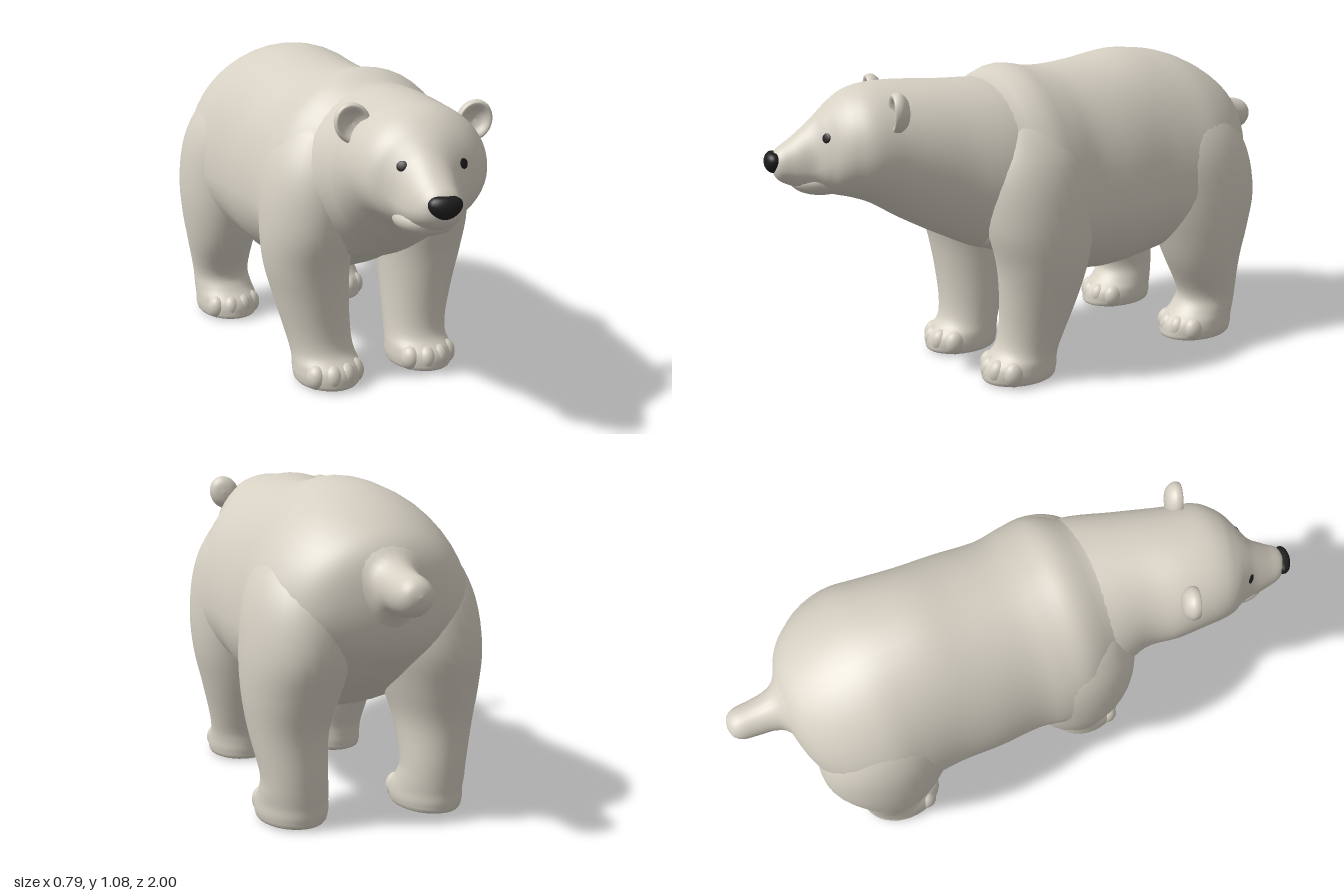
import * as THREE from 'three';

const fur = new THREE.MeshStandardMaterial({ color: 0xd6d0c3 });
fur.name = 'warm grey fur';
const dark = new THREE.MeshStandardMaterial({ color: 0x1e1e1e });
dark.name = 'dark nose';

// Smooth interpolation of one column of the section table
function catmull(a, b, c, d, t) {
  const m0 = (c - a) / 2, m1 = (d - b) / 2, t2 = t * t, t3 = t2 * t;
  return (2 * t3 - 3 * t2 + 1) * b + (t3 - 2 * t2 + t) * m0 + (3 * t2 - 2 * t3) * c + (t3 - t2) * m1;
}

// Skin through sections; ringPoint(section, cos, sin) gives one point of a ring
function loft(sections, ringPoint, steps = 4, sides = 36) {
  const pos = [], index = [], n = sections.length;
  const at = (i) => sections[Math.min(n - 1, Math.max(0, i))];
  const rings = (n - 1) * steps;
  for (let k = 0; k <= rings; k++) {
    const i = Math.min(n - 2, Math.floor(k / steps)), t = k / steps - i;
    const s = at(i).map((v, c) => catmull(at(i - 1)[c], v, at(i + 1)[c], at(i + 2)[c], t));
    for (let j = 0; j < sides; j++) {
      const a = (j / sides) * Math.PI * 2;
      pos.push(...ringPoint(s, Math.cos(a), Math.sin(a)));
      if (k < rings) {
        const p = k * sides + j, q = k * sides + (j + 1) % sides;
        index.push(p, q, p + sides, q, q + sides, p + sides);
      }
    }
  }
  const geo = new THREE.BufferGeometry();
  geo.setAttribute('position', new THREE.Float32BufferAttribute(pos, 3));
  geo.setIndex(index);
  geo.computeVertexNormals();
  return geo;
}

// Section along z: [z, centreX, top, bottom, widestY, halfWidth, yaw]
const alongZ = ([z, cx, top, bottom, wide, rx, yaw], c, s) =>
  [cx + rx * c, wide + s * (s > 0 ? top - wide : wide - bottom), z + rx * c * yaw];
// Section along y: [y, centreX, centreZ, halfWidth, halfDepth]
const alongY = ([y, cx, cz, rx, rz], c, s) => [cx + rx * c, Math.max(0, y), cz - rz * s];

const BODY = [
  [-0.82, 0, 0.78, 0.72, 0.75, 0, 0],
  [-0.808, 0, 0.85, 0.65, 0.74, 0.085, 0],
  [-0.775, 0, 0.91, 0.575, 0.71, 0.195, 0],
  [-0.72, 0, 0.957, 0.52, 0.68, 0.275, 0],
  [-0.63, 0, 1.01, 0.45, 0.64, 0.34, 0],
  [-0.52, 0, 1.053, 0.385, 0.61, 0.373, 0],
  [-0.41, 0, 1.074, 0.33, 0.6, 0.363, 0],
  [-0.29, 0, 1.08, 0.3, 0.6, 0.35, 0],
  [-0.15, 0, 1.06, 0.287, 0.6, 0.35, 0],
  [0, 0, 1.047, 0.31, 0.6, 0.342, 0],
  [0.1, 0, 1.053, 0.34, 0.6, 0.36, 0],
  [0.19, 0, 1.066, 0.385, 0.61, 0.362, 0],
  [0.28, 0, 1.035, 0.43, 0.63, 0.32, 0],
  [0.37, 0, 0.985, 0.475, 0.66, 0.24, 0],
  [0.43, 0, 0.72, 0.64, 0.68, 0, 0],
];

const HEAD = [
  [0.1, 0, 1.02, 0.42, 0.69, 0.3, 0],
  [0.3, 0, 1.03, 0.435, 0.71, 0.287, 0],
  [0.45, -0.02, 1.035, 0.502, 0.77, 0.238, 0.1],
  [0.58, -0.06, 1.04, 0.575, 0.81, 0.222, 0.22],
  [0.68, -0.08, 1.036, 0.64, 0.83, 0.208, 0.28],
  [0.74, -0.1, 1.018, 0.665, 0.83, 0.187, 0.28],
  [0.78, -0.115, 0.99, 0.675, 0.82, 0.162, 0.28],
  [0.813, -0.127, 0.96, 0.683, 0.8, 0.126, 0.28],
  [0.85, -0.141, 0.922, 0.693, 0.775, 0.095, 0.28],
  [0.91, -0.154, 0.872, 0.712, 0.775, 0.074, 0.28],
  [0.96, -0.163, 0.837, 0.74, 0.785, 0.05, 0.28],
  [0.98, -0.165, 0.8, 0.785, 0.79, 0, 0.28],
];

const TAIL = [
  [-1, 0, 0.77, 0.77, 0.77, 0, 0],
  [-0.99, 0, 0.803, 0.735, 0.77, 0.035, 0],
  [-0.96, 0, 0.825, 0.71, 0.77, 0.055, 0],
  [-0.9, 0, 0.836, 0.7, 0.77, 0.061, 0],
  [-0.85, 0, 0.85, 0.697, 0.775, 0.068, 0],
  [-0.81, 0, 0.872, 0.655, 0.775, 0.09, 0],
  [-0.77, 0, 0.908, 0.59, 0.76, 0.165, 0],
  [-0.7, 0, 0.94, 0.55, 0.75, 0.23, 0],
];

const FRONT_LEG = [
  [0, 0.185, 0.26, 0, 0],
  [0.003, 0.185, 0.26, 0.095, 0.12],
  [0.03, 0.185, 0.26, 0.113, 0.138],
  [0.07, 0.185, 0.253, 0.113, 0.134],
  [0.11, 0.187, 0.228, 0.11, 0.114],
  [0.18, 0.195, 0.208, 0.115, 0.119],
  [0.3, 0.21, 0.19, 0.13, 0.142],
  [0.42, 0.222, 0.184, 0.147, 0.165],
  [0.55, 0.22, 0.19, 0.159, 0.194],
  [0.7, 0.2, 0.187, 0.165, 0.205],
  [0.82, 0.165, 0.183, 0.158, 0.185],
  [0.92, 0.12, 0.175, 0.12, 0.145],
  [0.98, 0.08, 0.17, 0, 0],
];

const BACK_LEG = [
  [0, 0.235, -0.53, 0, 0],
  [0.003, 0.235, -0.53, 0.095, 0.13],
  [0.03, 0.235, -0.533, 0.114, 0.148],
  [0.07, 0.235, -0.54, 0.114, 0.143],
  [0.11, 0.237, -0.565, 0.11, 0.122],
  [0.17, 0.24, -0.578, 0.108, 0.113],
  [0.3, 0.248, -0.547, 0.127, 0.151],
  [0.42, 0.238, -0.54, 0.154, 0.193],
  [0.55, 0.22, -0.538, 0.175, 0.232],
  [0.7, 0.195, -0.52, 0.182, 0.235],
  [0.82, 0.165, -0.505, 0.163, 0.19],
  [0.92, 0.12, -0.5, 0.115, 0.14],
  [0.97, 0.08, -0.5, 0, 0],
];

export function createModel() {
  const bear = new THREE.Group();
  bear.name = 'bear';
  const add = (name, geo, mat = fur, parent = bear) => {
    const mesh = new THREE.Mesh(geo, mat);
    mesh.name = name;
    parent.add(mesh);
    return mesh;
  };
  const ball = (name, p, r, mat = fur, parent = bear) => {
    const mesh = add(name, new THREE.SphereGeometry(1, 24, 16), mat, parent);
    mesh.position.set(...p);
    mesh.scale.set(...r);
    return mesh;
  };

  add('body', loft(BODY, alongZ, 4, 48));
  const head = add('headAndNeck', loft(HEAD, alongZ, 5, 48));
  add('tail', loft(TAIL, alongZ, 4, 24));

  // Legs with four toes on each paw
  for (const [side, s] of [['left', 1], ['right', -1]]) {
    for (const [end, table, toeZ] of [['Front', FRONT_LEG, 0.362], ['Back', BACK_LEG, -0.424]]) {
      const leg = new THREE.Group();
      leg.name = `${side}${end}Leg`;
      bear.add(leg);
      add('leg', loft(table.map(([y, x, ...rest]) => [y, s * x, ...rest]), alongY), fur, leg);
      for (let i = 0; i < 4; i++) {
        const u = i - 1.5;
        ball('toe', [s * table[2][1] + u * 0.048, 0.046, toeZ - u * u * 0.0145], [0.034, 0.044, 0.039], fur, leg);
      }
    }
  }

  // Cupped round ears
  const cup = new THREE.SplineCurve([
    [0, -0.03], [0.036, -0.024], [0.056, -0.004], [0.053, 0.015], [0.042, 0.015], [0.024, 0.002], [0, -0.004],
  ].map(([x, y]) => new THREE.Vector2(x, y))).getPoints(24);
  cup.forEach((p) => { p.x = Math.max(0, p.x); });
  const earGeo = new THREE.LatheGeometry(cup, 28).rotateX(Math.PI / 2);
  for (const [name, x, y, z, tilt] of [['leftEar', 0.121, 0.965, 0.67, -0.35], ['rightEar', -0.245, 0.97, 0.562, 0.35]]) {
    const ear = add(name, earGeo);
    ear.position.set(x, y, z);
    ear.rotation.set(0, -0.28, tilt);
    ear.scale.set(1, 1.15, 1.2);
  }

  // Lower jaw, following the turned head
  ball('lowerJaw', [-0.136, 0.73, 0.815], [0.1, 0.054, 0.108]).rotation.y = -0.28;

  // Nose: broad flat top, narrowing downwards
  const nose = ball('nose', [-0.165, 0.798, 0.969], [0.05, 0.036, 0.03], dark);
  nose.rotation.y = -0.28;
  const np = nose.geometry.attributes.position;
  for (let i = 0; i < np.count; i++) {
    const y = np.getY(i);
    np.setX(i, np.getX(i) * (1 + 0.22 * y));
    np.setY(i, Math.min(y, 0.85));
  }
  nose.geometry.computeVertexNormals();

  // Thin eyes laid on the face
  const ray = new THREE.Raycaster();
  for (const [name, x, y] of [['leftEye', -0.027, 0.882], ['rightEye', -0.215, 0.887]]) {
    ray.set(new THREE.Vector3(x, y, 2), new THREE.Vector3(0, 0, -1));
    const hit = ray.intersectObject(head)[0];
    const eye = ball(name, hit.point.toArray(), [0.017, 0.016, 0.0045], dark);
    eye.lookAt(hit.point.clone().add(hit.face.normal).add(new THREE.Vector3(0, 0, 0.15)));
  }
  return bear;
}
